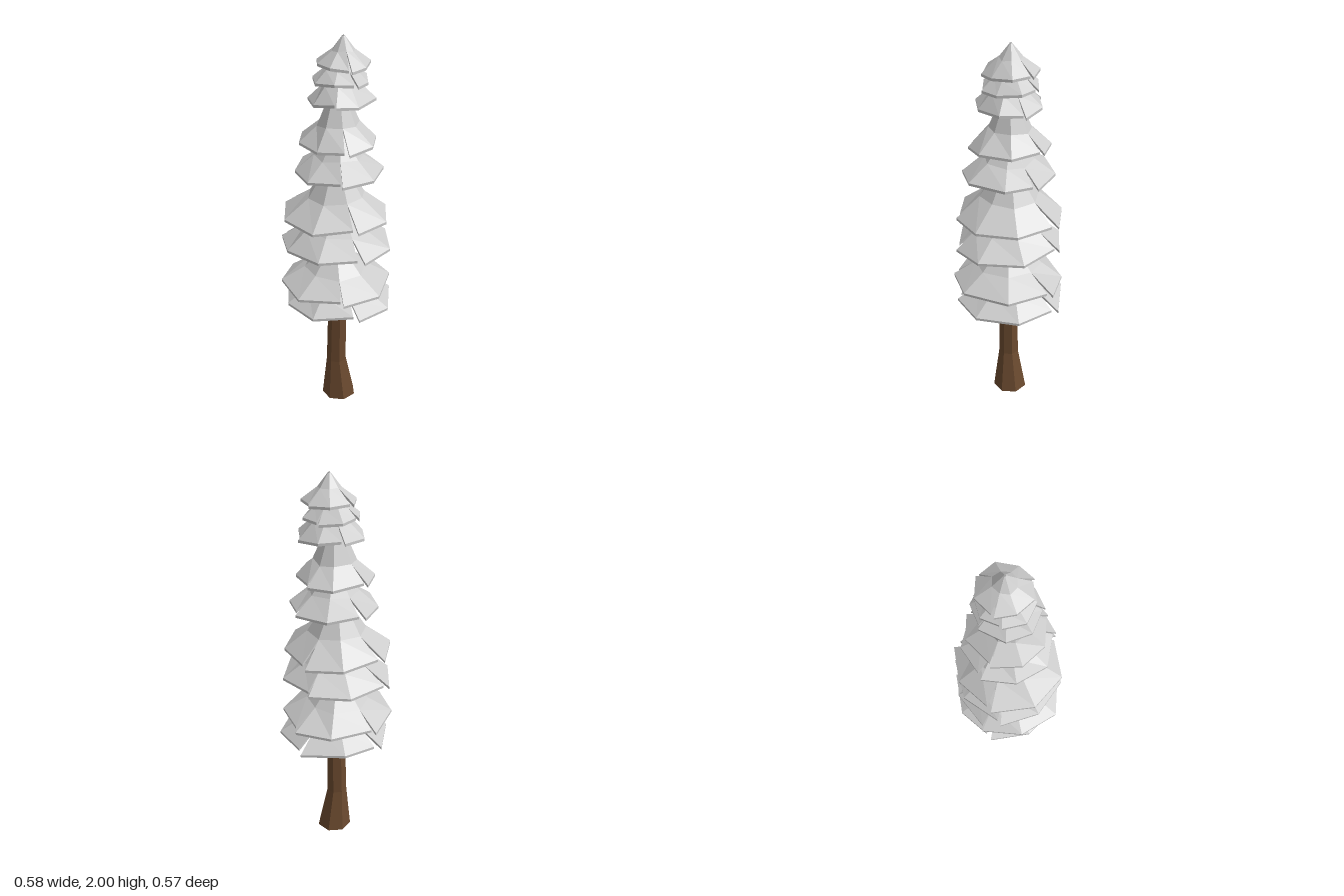
import * as THREE from 'three';

const SIDES = 8;
const THICK = 0.013;

// Each tier: axis x, z | rim y, rim radius | bend y, bend radius | tip y | angle of first slit
const TIERS = [
  [0.01, 0.005, 0.625, 0.283, 0.70, 0.165, 0.87, 1.52],
  [-0.005, 0.015, 0.735, 0.283, 0.81, 0.165, 0.965, 1.75],
  [0.005, 0.015, 0.958, 0.275, 1.04, 0.165, 1.21, 1.42],
  [0.0, 0.01, 1.112, 0.267, 1.21, 0.145, 1.43, 1.50],
  [0.015, 0.015, 1.347, 0.225, 1.42, 0.125, 1.56, 1.82],
  [0.01, 0.01, 1.497, 0.195, 1.58, 0.108, 1.81, 1.65],
  [0.025, 0.016, 1.708, 0.160, 1.775, 0.090, 1.88, 2.05],
  [0.025, 0.01, 1.797, 0.138, 1.845, 0.080, 1.94, 1.35],
  [0.036, 0.01, 1.872, 0.130, 1.935, 0.056, 2.0, 1.62],
];

function seeded(seed) {
  let s = seed;
  return () => {
    s = (s * 16807) % 2147483647;
    return s / 2147483647;
  };
}

// One skirt of drooping panels, slit from the rim up to the bend at three corners
function foliageGeometry([cx, cz, rimY, rimR, bendY, bendR, tipY, turn], seed) {
  const rand = seeded(seed * 7919 + 17);
  const jitter = (amount) => (rand() * 2 - 1) * amount;
  const positions = [];
  const quad = (a, b, c, d) => [a, b, c, a, c, d].forEach((p) => positions.push(...p));
  const point = (angle, r, y) => [cx + Math.cos(angle) * r, y, cz + Math.sin(angle) * r];
  const lower = ([x, y, z]) => [x, y - THICK, z];

  const corners = [];
  for (let i = 0; i < SIDES; i++) {
    const slit = i === 0 || i === 3 || i === 5;
    const angle = turn + (i / SIDES) * Math.PI * 2 + (i ? jitter(0.07) : 0);
    const r = rimR * (1 + jitter(0.04));
    const y = rimY + jitter(0.008);
    const gap = slit ? 0.02 + rand() * 0.05 : 0;
    const step = slit ? rimR * 0.04 : 0;
    corners.push({
      slit,
      tip: point(angle, 0.006, tipY),
      bend: point(angle, bendR * (1 + jitter(0.05)), bendY + jitter(0.006)),
      before: point(angle - gap, r + step, y - step * 0.6),
      after: point(angle + gap, r - step, y + step * 0.6),
    });
  }

  corners.forEach((a, i) => {
    const b = corners[(i + 1) % SIDES];
    const [rimA, rimB] = [a.after, b.before];
    // Upper faces
    quad(b.tip, b.bend, a.bend, a.tip);
    quad(b.bend, rimB, rimA, a.bend);
    // Rim edge
    quad(rimB, lower(rimB), lower(rimA), rimA);
    // Undersides
    quad(...[a.tip, a.bend, b.bend, b.tip].map(lower));
    quad(...[a.bend, rimA, rimB, b.bend].map(lower));
    // Cut edges of the slits
    if (a.slit) quad(a.bend, rimA, lower(rimA), lower(a.bend));
    if (b.slit) quad(b.bend, lower(b.bend), lower(rimB), rimB);
  });

  const geometry = new THREE.BufferGeometry();
  geometry.setAttribute('position', new THREE.Float32BufferAttribute(positions, 3));
  geometry.computeVertexNormals();
  return geometry;
}

// Tapered trunk, flared at the foot: y, radius, axis x, axis z
function trunkGeometry() {
  const rings = [
    [0, 0.09, 0.015, 0.01],
    [0.23, 0.053, 0, 0.015],
    [0.62, 0.048, 0.005, 0.018],
    [1.06, 0.026, 0.008, 0.015],
  ];
  const geometry = new THREE.CylinderGeometry(1, 1, 1, 7, rings.length - 1);
  const pos = geometry.attributes.position;
  for (let i = 0; i < pos.count; i++) {
    const [y, r, x, z] = rings[Math.round((pos.getY(i) + 0.5) * (rings.length - 1))];
    pos.setXYZ(i, x + pos.getX(i) * r, y, z + pos.getZ(i) * r);
  }
  geometry.computeVertexNormals();
  return geometry;
}

export function createModel() {
  const tree = new THREE.Group();
  tree.name = 'pineTree';

  const bark = new THREE.MeshStandardMaterial({ color: 0x6b4a2f, flatShading: true });
  const needles = new THREE.MeshStandardMaterial({
    color: 0xcccccc, flatShading: true, side: THREE.DoubleSide,
  });

  const trunk = new THREE.Mesh(trunkGeometry(), bark);
  trunk.name = 'trunk';
  tree.add(trunk);

  const foliage = new THREE.Group();
  foliage.name = 'foliage';
  TIERS.forEach((tier, i) => {
    const mesh = new THREE.Mesh(foliageGeometry(tier, i + 1), needles);
    mesh.name = `foliageTier${i + 1}`;
    foliage.add(mesh);
  });
  tree.add(foliage);
  return tree;
}
